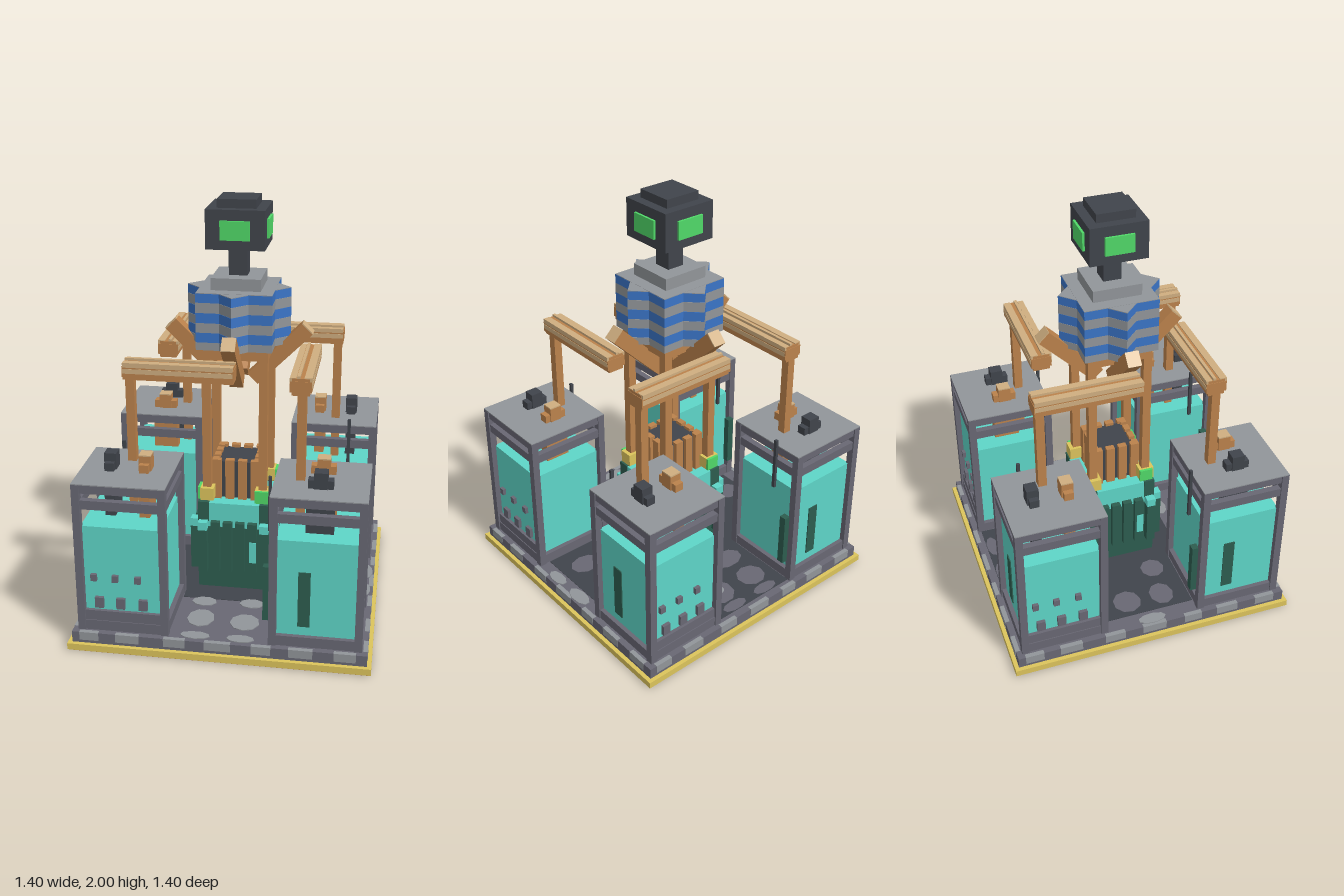
import * as THREE from 'three';

const mat = (name, color) => {
  const m = new THREE.MeshStandardMaterial({ color });
  m.name = name;
  return m;
};

export function createModel() {
  const M = {
    yellow: mat('yellow trim', 0xdcc45c), stone: mat('light stone', 0x919599),
    mid: mat('grey metal', 0x686773), dark: mat('dark metal', 0x40444b),
    teal: mat('teal', 0x5ed5c7), green: mat('dark green', 0x2d5d4f),
    brown: mat('copper brown', 0xbb824c), tan: mat('tan', 0xcfae80),
    blue: mat('blue', 0x3a74c6), lime: mat('screen green', 0x50d868),
  };
  const root = new THREE.Group();
  root.name = 'tankMachine';

  // Box given by its low and high limits on each axis
  const box = (parent, name, m, x0, x1, y0, y1, z0, z1) => {
    const b = new THREE.Mesh(new THREE.BoxGeometry(x1 - x0, y1 - y0, z1 - z0), m);
    b.position.set((x0 + x1) / 2, (y0 + y1) / 2, (z0 + z1) / 2);
    b.name = name;
    parent.add(b);
    return b;
  };
  // Square block centred on the y axis
  const block = (parent, name, m, half, y0, y1) => box(parent, name, m, -half, half, y0, y1, -half, half);
  const group = (parent, name) => {
    const g = new THREE.Group();
    g.name = name;
    parent.add(g);
    return g;
  };

  // Base: brown underside, yellow trim and stone slab
  const base = group(root, 'base');
  block(base, 'underside', M.brown, 0.695, 0, 0.006);
  block(base, 'trimPlate', M.yellow, 0.7, 0.004, 0.036);
  block(base, 'slab', M.mid, 0.68, 0.036, 0.09);
  box(base, 'darkFloor', M.dark, -0.23, 0.23, 0.09, 0.092, -0.64, 0.3);
  box(base, 'darkFloor', M.dark, -0.59, -0.23, 0.09, 0.092, -0.23, 0.23);
  box(base, 'darkFloor', M.dark, 0.23, 0.6, 0.09, 0.092, -0.23, 0.23);

  // Cobbles painted on the floor: x, z, radius along x, radius along z, light
  const cobbles = [
    [-0.11, -0.5, 0.075, 0.07, 0], [0.1, -0.49, 0.08, 0.085, 0], [0.09, -0.48, 0.03, 0.03, 1],
    [-0.1, -0.61, 0.07, 0.03, 0], [0.1, -0.61, 0.07, 0.03, 0], [-0.1, -0.33, 0.09, 0.06, 0],
    [0.12, -0.3, 0.08, 0.05, 0], [0.29, -0.08, 0.05, 0.06, 0], [0.46, -0.08, 0.08, 0.065, 0],
    [0.47, -0.09, 0.03, 0.025, 1], [0.3, 0.1, 0.06, 0.06, 0], [0.47, 0.1, 0.08, 0.06, 0],
    [0.64, -0.08, 0.035, 0.07, 1], [0.64, 0.1, 0.03, 0.06, 1], [-0.5, 0.1, 0.07, 0.06, 0],
    [-0.5, -0.08, 0.07, 0.07, 0], [-0.32, 0.12, 0.06, 0.06, 0], [-0.64, 0, 0.03, 0.07, 1],
    [-0.11, 0.48, 0.065, 0.075, 1], [0.1, 0.49, 0.07, 0.07, 1], [-0.11, 0.63, 0.07, 0.03, 1],
    [0.1, 0.63, 0.065, 0.03, 1], [-0.12, 0.33, 0.06, 0.04, 1], [0.11, 0.32, 0.06, 0.04, 1],
  ];
  for (const [x, z, rx, rz, light] of cobbles) {
    const c = new THREE.Mesh(new THREE.CylinderGeometry(1, 1, 0.004, 9), light ? M.stone : M.mid);
    c.scale.set(rx, 1, rz);
    c.position.set(x, light ? 0.093 : 0.092, z);
    c.name = 'cobble';
    base.add(c);
  }

  // One quarter of the machine, turned four times round the y axis
  const buildQuarter = (q) => {
    // Stones along the slab edge
    for (const [x, w] of [[-0.6, 0.09], [-0.42, 0.11], [-0.2, 0.1], [0, 0.12], [0.2, 0.09], [0.38, 0.11], [0.58, 0.1]])
      box(q, 'edgeStone', M.stone, x - w / 2, x + w / 2, 0.05, 0.091, 0.66, 0.682);

    // Tank frame
    const tank = group(q, 'tank');
    const lo = 0.23, hi = 0.655, t = 0.035;
    for (const x of [lo, hi - t]) for (const z of [lo, hi - t])
      box(tank, 'framePost', M.mid, x, x + t, 0.09, 0.825, z, z + t);
    for (const [y0, y1, m] of [[0.09, 0.14, M.mid], [0.705, 0.748, M.mid], [0.782, 0.825, M.mid]])
      for (const s of [lo + 0.004, hi - t - 0.002]) {
        box(tank, 'frameRail', m, s, s + t - 0.004, y0, y1, lo + t, hi - t);
        box(tank, 'frameRail', m, lo + t, hi - t, y0, y1, s, s + t - 0.004);
      }
    box(tank, 'lid', M.stone, lo, hi, 0.824, 0.829, lo, hi);
    box(tank, 'tankBody', M.teal, 0.257, 0.628, 0.1, 0.612, 0.257, 0.628);

    // Outer sides: sill and studs on one, slot on the other
    box(tank, 'sill', M.mid, 0.62, 0.645, 0.14, 0.19, lo + t, hi - t);
    for (const z of [0.575, 0.475, 0.37]) {
      box(tank, 'upperStud', M.mid, 0.62, 0.645, 0.342, 0.375, z - 0.014, z + 0.014);
      box(tank, 'lowerStud', M.mid, 0.62, 0.645, 0.205, 0.258, z - 0.042, z - 0.002);
    }
    box(tank, 'slot', M.green, 0.36, 0.415, 0.185, 0.46, 0.628, 0.633);

    // Inner side: control box and lever
    box(tank, 'controlBox', M.green, 0.2, 0.232, 0.2, 0.47, 0.59, 0.625);
    box(tank, 'lever', M.dark, 0.21, 0.224, 0.6, 0.865, 0.513, 0.529);

    // Pumps hanging below the lid and their fittings above it
    for (const [z, m, cap] of [[0.36, M.brown, M.tan], [0.52, M.dark, M.dark]]) {
      box(tank, 'pump', m, 0.38, 0.505, 0.6, 0.824, z - 0.024, z + 0.024);
      box(tank, 'fittingFoot', m, 0.385, 0.498, 0.828, 0.868, z - 0.022, z + 0.022);
      box(tank, 'fittingSide', m, 0.412, 0.472, 0.828, 0.9, z - 0.028, z + 0.028);
      box(tank, 'fittingCap', cap, 0.412, 0.472, 0.9, 0.906, z - 0.028, z + 0.028);
    }

    // Arm: tilted elbow, long beam and drop pipe
    const arm = group(q, 'arm');
    const elbow = new THREE.Mesh(new THREE.BoxGeometry(0.36, 0.07, 0.064), M.brown);
    elbow.position.set(0.195, 1.27, 0);
    elbow.rotation.z = Math.PI / 4;
    elbow.name = 'elbow';
    arm.add(elbow);
    const tip = new THREE.Mesh(new THREE.BoxGeometry(0.006, 0.07, 0.064), M.tan);
    tip.position.set(0.195 + 0.1285, 1.27 + 0.1285, 0);
    tip.rotation.z = Math.PI / 4;
    tip.name = 'elbowTip';
    arm.add(tip);
    box(arm, 'beam', M.brown, 0.3, 0.378, 1.23, 1.308, -0.03, 0.472);
    box(arm, 'beamBelt', M.brown, 0.291, 0.387, 1.245, 1.295, -0.032, 0.474);
    box(arm, 'beamBand', M.tan, 0.289, 0.389, 1.262, 1.284, -0.028, 0.47);
    for (const [x0, x1, y] of [[0.29, 0.318, 1.31], [0.322, 0.336, 1.319], [0.354, 0.388, 1.312]])
      box(arm, 'beamStrip', M.tan, x0, x1, 1.29, y, -0.029, 0.471);
    box(arm, 'dropPipe', M.brown, 0.325, 0.365, 0.62, 1.24, 0.425, 0.465);

    // Column with a coloured foot
    const column = group(q, 'column');
    box(column, 'columnPost', M.brown, 0.115, 0.155, 0.55, 1.34, 0.115, 0.155);
    box(column, 'columnFoot', M.yellow, 0.1, 0.175, 0.56, 0.622, 0.1, 0.165);
    box(column, 'footLight', M.lime, 0.1, 0.165, 0.56, 0.622, 0.165, 0.178);

    // Cooling fins on one side of the core, the outer two tipped in teal
    for (const x of [-0.09, -0.03, 0.03, 0.09])
      box(q, 'fin', M.green, x - 0.022, x + 0.022, 0.19, 0.455, 0.17, 0.2);
    for (const x of [-0.15, 0.15]) {
      box(q, 'outerFin', M.green, x - 0.022, x + 0.022, 0.19, 0.415, 0.17, 0.215);
      box(q, 'finCap', M.teal, x - 0.022, x + 0.022, 0.415, 0.456, 0.17, 0.215);
    }
    box(q, 'gaugePlate', M.teal, 0.078, 0.112, 0.25, 0.36, 0.2, 0.204);

    // Piston slats above the core
    for (const x of [-0.093, -0.031, 0.031, 0.093])
      box(q, 'pistonSlat', M.brown, x - 0.021, x + 0.021, 0.545, 0.75, 0.085, 0.115);

    // Screen on the head
    box(q, 'screen', M.lime, -0.068, 0.068, 1.825, 1.912, 0.13, 0.146);
  };
  for (let i = 0; i < 4; i++) {
    const q = group(root, 'quarter');
    q.rotation.y = i * Math.PI / 2;
    buildQuarter(q);
  }

  // Core
  const core = group(root, 'core');
  block(core, 'coreBody', M.green, 0.176, 0.09, 0.42);
  block(core, 'coreTop', M.teal, 0.174, 0.42, 0.546);
  for (const x of [-1, 1]) for (const z of [-1, 1])
    box(core, 'coreCorner', M.green, x * 0.15 - 0.027, x * 0.15 + 0.027, 0.45, 0.55, z * 0.15 - 0.027, z * 0.15 + 0.027);
  block(core, 'pistonBlock', M.dark, 0.095, 0.546, 0.735);
  block(core, 'hub', M.brown, 0.155, 1.27, 1.33);

  // Striped drum: two crossed square stacks
  const drum = group(root, 'drum');
  const levels = [1.32, 1.357, 1.403, 1.449, 1.496, 1.544, 1.586];
  for (let i = 0; i < 6; i++) {
    const m = i % 2 ? M.blue : M.stone;
    block(drum, 'drumBand', m, 0.176, levels[i], levels[i + 1]);
    block(drum, 'drumBand', m, 0.172, levels[i], levels[i + 1] - 0.001).rotation.y = Math.PI / 4;
  }
  block(drum, 'drumLid', M.stone, 0.175, 1.584, 1.589);
  block(drum, 'drumLid', M.stone, 0.171, 1.584, 1.588).rotation.y = Math.PI / 4;
  block(drum, 'collar', M.stone, 0.115, 1.586, 1.645);

  // Head
  const head = group(root, 'head');
  block(head, 'neck', M.dark, 0.043, 1.64, 1.785);
  block(head, 'headBox', M.dark, 0.135, 1.78, 1.96);
  block(head, 'headCap', M.dark, 0.09, 1.96, 2);

  return root;
}
